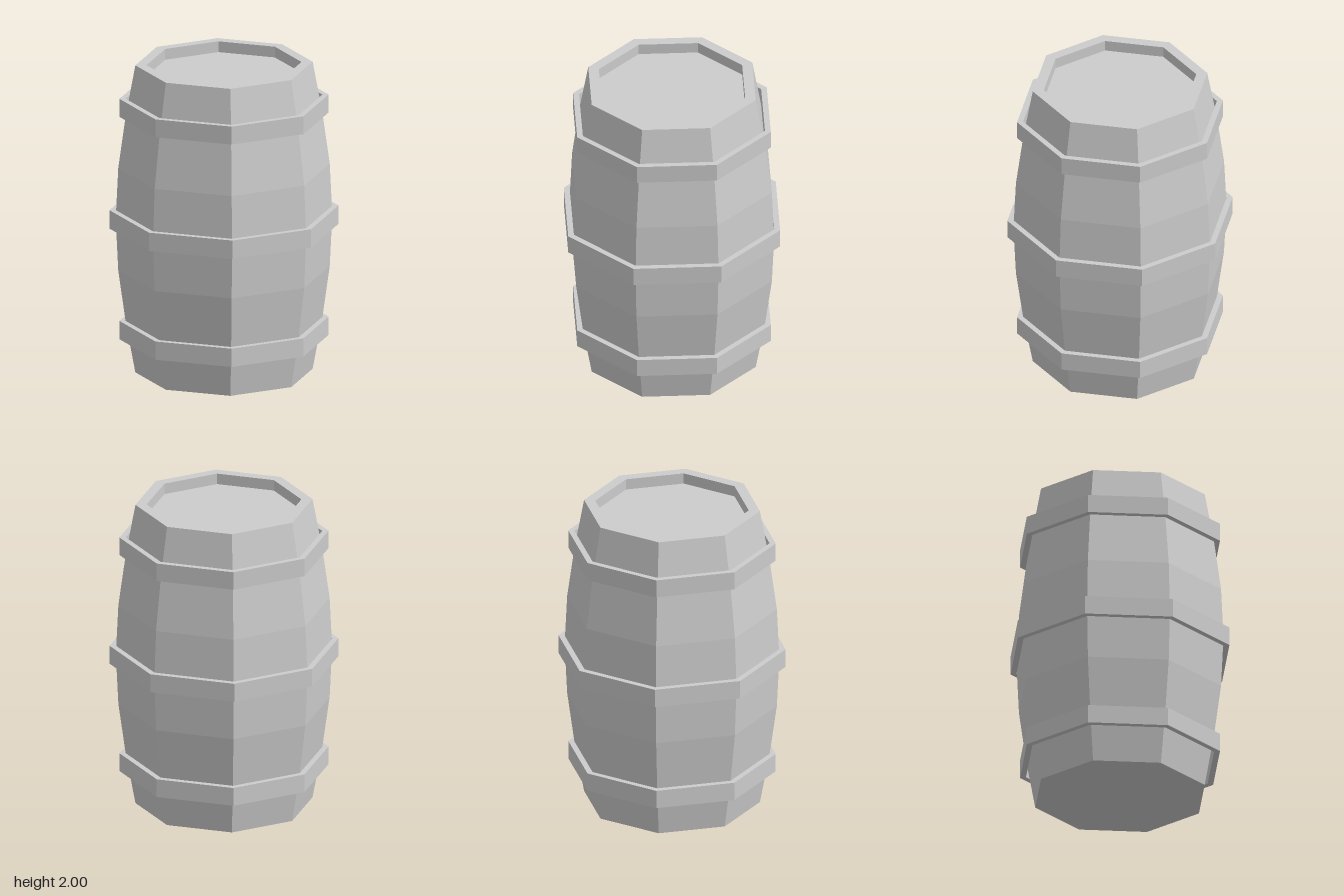
import * as THREE from 'three';

const SIDES = 8;

export function createModel() {
  const group = new THREE.Group();
  group.name = 'barrel';
  const grey = new THREE.MeshStandardMaterial({ color: 0xcccccc });
  grey.name = 'plain grey';

  // Faceted mesh with one normal per face
  const add = (name, geometry) => {
    const flat = geometry.toNonIndexed();
    flat.computeVertexNormals();
    const mesh = new THREE.Mesh(flat, grey);
    mesh.name = name;
    group.add(mesh);
  };
  // Octagonal ring swept from [radius, height] points
  const lathe = (points) =>
    new THREE.LatheGeometry(points.map(([r, y]) => new THREE.Vector2(r, y)), SIDES);

  // Bulging staves, flat rim and the inside wall down to the lid
  add('staves', lathe([
    [0.555, 0], [0.616, 0.333], [0.662, 0.667], [0.678, 1],
    [0.662, 1.333], [0.616, 1.667], [0.555, 2], [0.485, 2], [0.485, 1.93],
  ]));

  // Recessed lid and base
  add('lid', new THREE.CircleGeometry(0.485, SIDES).rotateX(-Math.PI / 2).translate(0, 1.93, 0));
  add('base', new THREE.CircleGeometry(0.555, SIDES).rotateX(Math.PI / 2));

  // Three hoops: name, inner radius, outer radius, bottom, top
  for (const [name, inner, outer, y0, y1] of [
    ['lowerHoop', 0.616, 0.655, 0.218, 0.337],
    ['middleHoop', 0.678, 0.717, 0.94, 1.06],
    ['upperHoop', 0.616, 0.655, 1.667, 1.784],
  ]) {
    add(name, lathe([[inner, y0], [outer, y0], [outer, y1], [inner, y1], [inner, y0]]));
  }
  return group;
}
